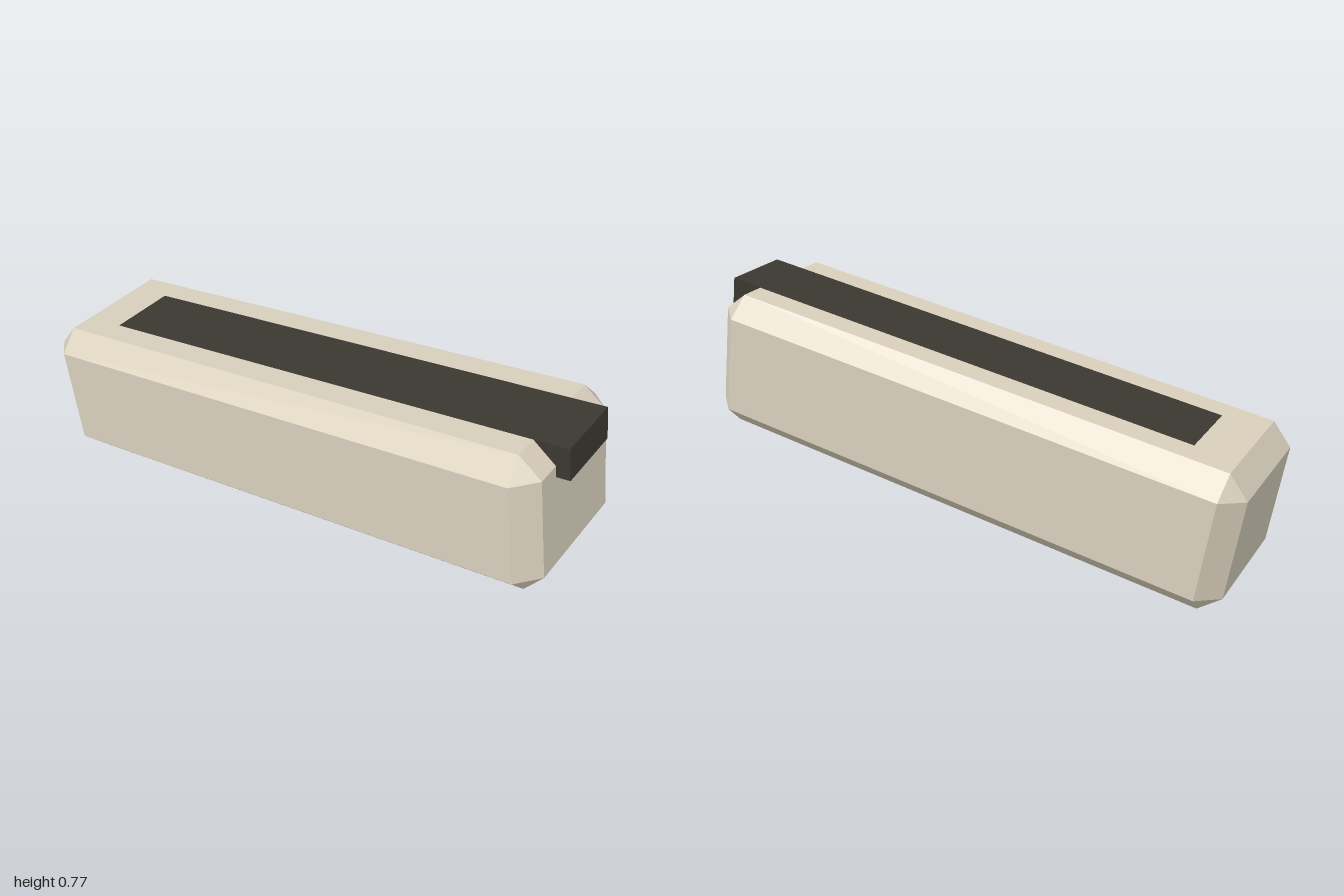
import * as THREE from 'three';
import { ConvexGeometry } from 'three/addons/geometries/ConvexGeometry.js';

// Box with flat bevels on every edge and corner
function chamferedBox(hx, hy, hz, c) {
  const points = [];
  for (const sx of [-1, 1]) for (const sy of [-1, 1]) for (const sz of [-1, 1]) {
    points.push(
      new THREE.Vector3(sx * hx, sy * (hy - c), sz * (hz - c)),
      new THREE.Vector3(sx * (hx - c), sy * hy, sz * (hz - c)),
      new THREE.Vector3(sx * (hx - c), sy * (hy - c), sz * hz)
    );
  }
  return new ConvexGeometry(points);
}

export function createModel() {
  const beige = new THREE.MeshStandardMaterial({ name: 'beige', color: 0xd8cfbc, flatShading: true });
  const charcoal = new THREE.MeshStandardMaterial({ name: 'charcoal', color: 0x3a3830, flatShading: true });

  const model = new THREE.Group();
  model.name = 'model';

  // Tilted assembly, front end raised
  const tilted = new THREE.Group();
  tilted.name = 'tiltedBlock';
  tilted.rotation.x = -0.14;
  tilted.position.y = 0.376;
  model.add(tilted);

  // Bevelled body
  const body = new THREE.Mesh(chamferedBox(0.285, 0.2515, 0.985, 0.072), beige);
  body.name = 'body';
  tilted.add(body);

  // Inlaid strip, almost flush with the top and jutting out of the front
  const top = 0.2528, bottom = 0.14, back = -0.763, front = 1.031;
  const strip = new THREE.Mesh(new THREE.BoxGeometry(0.25, top - bottom, front - back), charcoal);
  strip.name = 'topStrip';
  strip.position.set(0, (top + bottom) / 2, (front + back) / 2);
  tilted.add(strip);

  return model;
}
